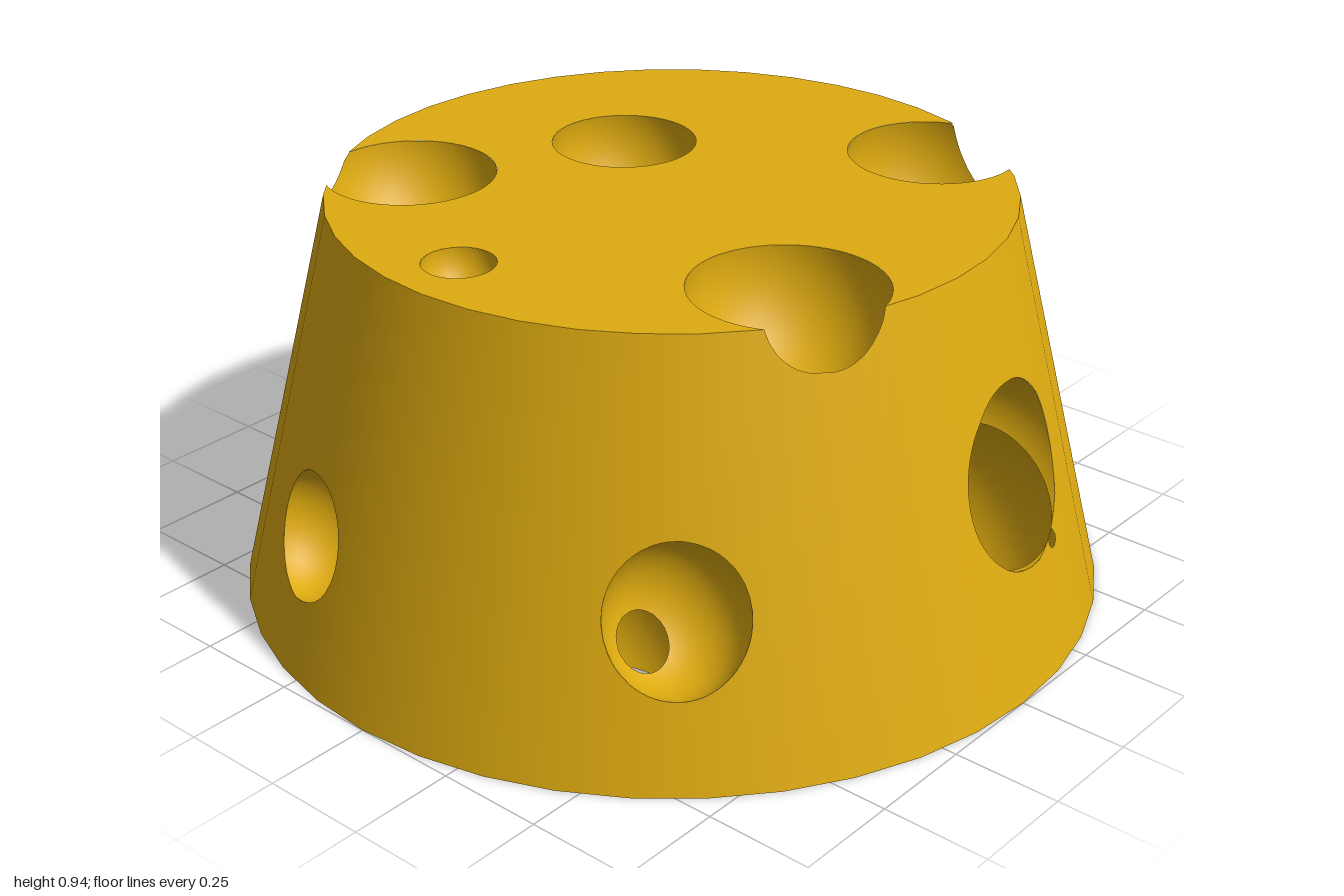
import * as THREE from 'three';

const HEIGHT = 0.935, TOP = 0.77, BASE = 1, SIDES = 40;
const STRETCH = 1.12; // the bubbles are slightly taller than wide

// Bubbles: name, x, y, z, radius
const HOLES = [
  ['topHoleBack', 0.32, 0.878, -0.545, 0.2016],
  ['topHoleMiddle', -0.263, 0.9, -0.135, 0.17],
  ['topHoleRight', -0.497, 0.94, 0.326, 0.195],
  ['topHoleLeft', 0.535, 0.91, 0.257, 0.2125],
  ['topHoleSmall', -0.055, 0.93, 0.61, 0.08],
  ['bottomHoleLeft', 0.635, 0.186, -0.167, 0.285],
  ['bottomHoleMiddle', 0.005, 0.09, -0.043, 0.234],
  ['bottomHoleBack', -0.413, 0.067, -0.626, 0.18],
  ['bottomHoleFront', 0.33, 0.11, 0.634, 0.219],
  ['edgeHoleBack', 0.503, 0.167, -0.758, 0.226],
  ['sideHoleLeft', 0.86, 0.46, -0.12, 0.19],
  ['sideHoleFrontLeft', 0.595, 0.36, 0.672, 0.152],
  ['sideHoleFront', -0.28, 0.31, 0.87, 0.132],
  ['sideHoleRight', -0.783, 0.445, -0.402, 0.173],
  ['sideHoleBack', -0.18, 0.53, -0.84, 0.12],
].map(([name, x, y, z, r]) => ({ name, x, y, z, r }));

// Positive outside a bubble
const outsideHole = (h) => (p) =>
  ((p.x - h.x) ** 2 + ((p.y - h.y) / STRETCH) ** 2 + (p.z - h.z) ** 2) / h.r ** 2 - 1;

// Positive inside the tapered block
function insideBlock(p) {
  let reach = -Infinity;
  for (let k = 0; k < SIDES; k++) {
    const a = ((k + 0.5) / SIDES) * Math.PI * 2;
    reach = Math.max(reach, p.x * Math.sin(a) + p.z * Math.cos(a));
  }
  const radius = BASE + ((TOP - BASE) * p.y) / HEIGHT;
  return Math.min(p.y, HEIGHT - p.y, radius * Math.cos(Math.PI / SIDES) - reach);
}

const mix = (a, b, t) => ({ p: a.p.clone().lerp(b.p, t), n: a.n.clone().lerp(b.n, t).normalize() });

function toTriangles(geometry) {
  const g = geometry.toNonIndexed();
  const { position, normal } = g.attributes;
  const tris = [];
  for (let i = 0; i < position.count; i += 3) {
    tris.push([0, 1, 2].map((k) => ({
      p: new THREE.Vector3().fromBufferAttribute(position, i + k),
      n: new THREE.Vector3().fromBufferAttribute(normal, i + k),
    })));
  }
  return tris;
}

// Halve the longest edge until every edge is short
function refine(tris, limit) {
  const done = [], todo = [...tris];
  while (todo.length) {
    const t = todo.pop();
    const lengths = t.map((v, i) => v.p.distanceTo(t[(i + 1) % 3].p));
    const longest = Math.max(...lengths);
    if (longest < limit) { done.push(t); continue; }
    const i = lengths.indexOf(longest);
    const a = t[i], b = t[(i + 1) % 3], c = t[(i + 2) % 3], m = mix(a, b, 0.5);
    todo.push([a, m, c], [m, b, c]);
  }
  return done;
}

// Keep the part of each triangle where f is positive
function clip(tris, f) {
  const out = [];
  for (const t of tris) {
    const d = t.map((v) => f(v.p));
    if (d.every((x) => x >= 0)) { out.push(t); continue; }
    if (d.every((x) => x < 0)) continue;
    const poly = [];
    t.forEach((a, i) => {
      const j = (i + 1) % 3, b = t[j];
      if (d[i] >= 0) poly.push(a);
      if (d[i] >= 0 !== d[j] >= 0) {
        let lo = 0, hi = 1;
        for (let s = 0; s < 14; s++) {
          const mid = (lo + hi) / 2;
          if (f(a.p.clone().lerp(b.p, mid)) >= 0 === d[i] >= 0) lo = mid;
          else hi = mid;
        }
        poly.push(mix(a, b, (lo + hi) / 2));
      }
    });
    for (let i = 1; i + 1 < poly.length; i++) out.push([poly[0], poly[i], poly[i + 1]]);
  }
  return out;
}

function toMesh(name, tris, material) {
  const g = new THREE.BufferGeometry();
  const verts = tris.flat();
  g.setAttribute('position', new THREE.Float32BufferAttribute(verts.flatMap((v) => v.p.toArray()), 3));
  g.setAttribute('normal', new THREE.Float32BufferAttribute(verts.flatMap((v) => v.n.toArray()), 3));
  const mesh = new THREE.Mesh(g, material);
  mesh.name = name;
  return mesh;
}

export function createModel() {
  const model = new THREE.Group();
  model.name = 'cheese';
  const material = new THREE.MeshStandardMaterial({ color: 0xdeab10 });

  // Tapered block with every bubble cut out of its skin
  const block = new THREE.CylinderGeometry(TOP, BASE, HEIGHT, SIDES).translate(0, HEIGHT / 2, 0);
  let skin = refine(toTriangles(block), 0.04);
  for (const h of HOLES) skin = clip(skin, outsideHole(h));
  model.add(toMesh('block', skin, material));

  // Bubble walls, turned inside out and trimmed to the block and to each other
  const holes = new THREE.Group();
  holes.name = 'holes';
  for (const h of HOLES) {
    const ball = new THREE.SphereGeometry(h.r, 48, 32).scale(1, STRETCH, 1).translate(h.x, h.y, h.z);
    let wall = toTriangles(ball).map(([a, b, c]) => [a, c, b]);
    wall.flat().forEach((v) => v.n.negate());
    wall = clip(wall, insideBlock);
    for (const other of HOLES) if (other !== h) wall = clip(wall, outsideHole(other));
    holes.add(toMesh(h.name, wall, material));
  }
  model.add(holes);
  return model;
}
